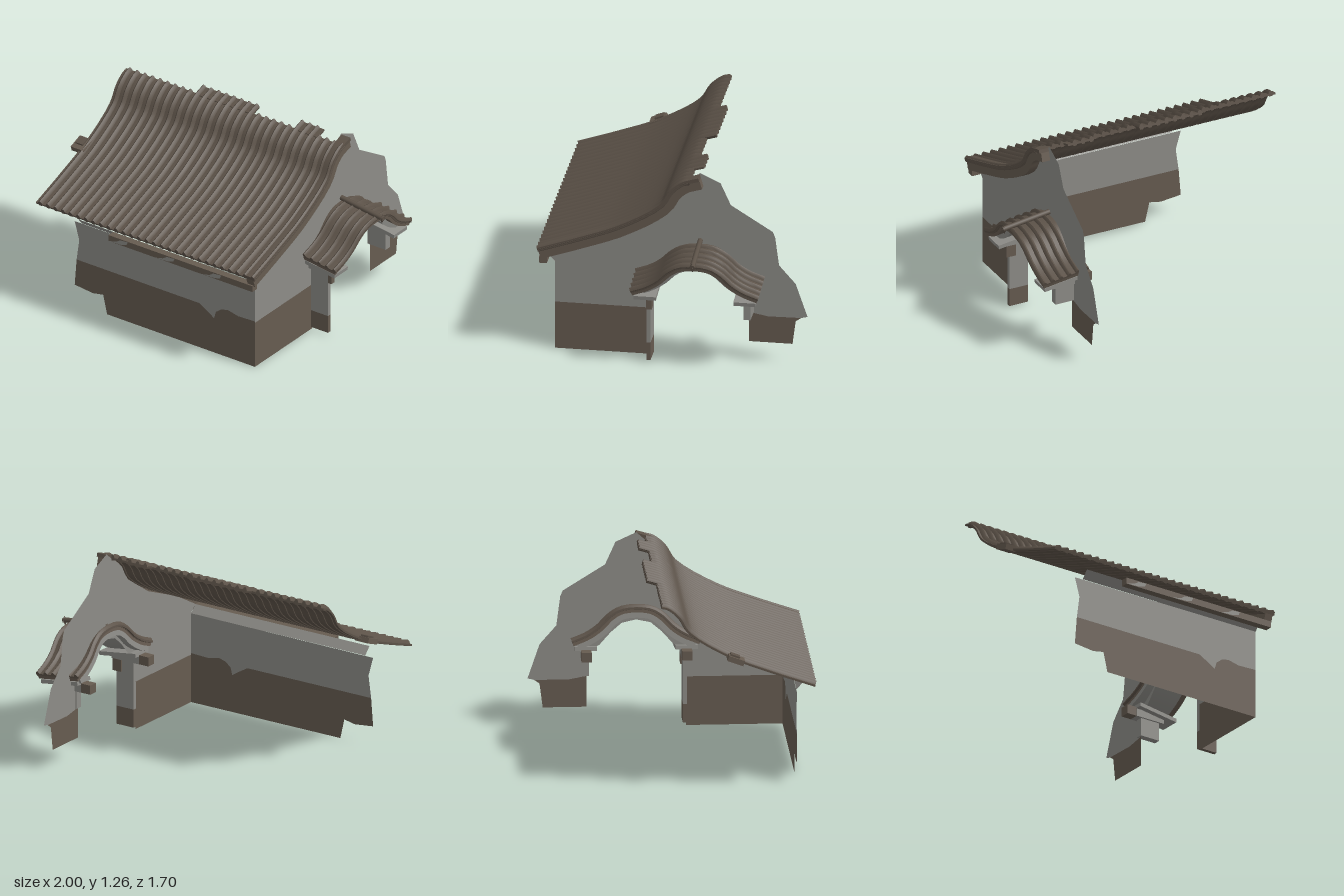
import * as THREE from 'three';
import { toCreasedNormals } from 'three/addons/utils/BufferGeometryUtils.js';

const mat = (name, color) => {
  const m = new THREE.MeshStandardMaterial({ color, side: THREE.DoubleSide });
  m.name = name;
  return m;
};

// Smooth path in the (z, y) plane
function curve(pts, n) {
  const c = new THREE.CatmullRomCurve3(pts.map(([z, y]) => new THREE.Vector3(0, y, z)), false, 'centripetal');
  return c.getPoints(n);
}

// Sweep a closed section of [x, offset along the path normal] along a (z, y) path
function sweep(section, path) {
  const pos = [], idx = [], m = section.length, n = path.length;
  path.forEach((p, i) => {
    const t = path[Math.min(i + 1, n - 1)].clone().sub(path[Math.max(i - 1, 0)]).normalize();
    section.forEach(([x, o]) => pos.push(x, p.y - t.z * o, p.z + t.y * o));
  });
  for (let i = 0; i < n - 1; i++) {
    for (let j = 0; j < m; j++) {
      const a = i * m + j, b = i * m + (j + 1) % m;
      idx.push(a, a + m, b, b, a + m, b + m);
    }
  }
  const e = (n - 1) * m;
  for (let j = 1; j < m - 1; j++) idx.push(0, j, j + 1, e, e + j + 1, e + j);
  const g = new THREE.BufferGeometry();
  g.setAttribute('position', new THREE.Float32BufferAttribute(pos, 3));
  g.setIndex(idx);
  return toCreasedNormals(g, 0.7);
}

const rect = (x0, x1, n0, n1) => [[x0, n0], [x1, n0], [x1, n1], [x0, n1]];

// Pointed half-round cover tile section
const tile = (x, r) => [[x - r * 0.6, -r], [x + r * 0.6, -r], [x + r, 0], [x + r * 0.55, r * 0.85],
  [x, r * 1.25], [x - r * 0.55, r * 0.85], [x - r, 0]];

export function createModel() {
  const model = new THREE.Group();
  const plaster = mat('grey plaster', 0x8d8c87);
  const brown = mat('brown base', 0x665b50);
  const roofMat = mat('roof tile', 0x5c5248);

  const add = (name, geo, material, parent = model) => {
    const mesh = new THREE.Mesh(geo, material);
    mesh.name = name;
    parent.add(mesh);
    return mesh;
  };
  const box = (name, material, x0, x1, y0, y1, z0, z1, parent) => {
    const b = add(name, new THREE.BoxGeometry(x1 - x0, y1 - y0, z1 - z0), material, parent);
    b.position.set((x0 + x1) / 2, (y0 + y1) / 2, (z0 + z1) / 2);
    return b;
  };
  const plate = pts => new THREE.ShapeGeometry(new THREE.Shape(pts.map(p => new THREE.Vector2(...p))));

  // Front wall: plaster above a ragged brown base
  const frontLine = [[-0.705, 0.315], [0.24, 0.315], [0.3, 0.28], [0.355, 0.245], [0.37, 0.295],
    [0.41, 0.325], [0.46, 0.338], [0.54, 0.32], [0.67, 0.325]];
  add('frontWallPlaster', plate([...frontLine, [0.67, 0.59], [-0.72, 0.585], [-0.685, 0.46]]), plaster)
    .position.z = 0.745;
  add('frontWallBase', plate([[-0.47, 0], [0.67, 0], ...[...frontLine].reverse(), [-0.72, 0.13],
    [-0.58, 0.115], [-0.5, 0.13]]), brown).position.z = 0.745;

  // Sloping cornice and eave beam with worn patches
  const cornice = add('cornice', new THREE.PlaneGeometry(1.33, 0.067), plaster);
  cornice.position.set(0.005, 0.613, 0.768);
  cornice.rotation.x = Math.atan2(0.045, 0.05);
  box('eaveBeam', brown, -0.39, 0.72, 0.595, 0.637, 0.79, 0.84);
  for (const x of [-0.39, -0.03, 0.33]) {
    add('wornPatch', plate([[x, 0.596], [x + 0.1, 0.6], [x + 0.14, 0.612], [x + 0.15, 0.635],
      [x + 0.09, 0.63], [x + 0.06, 0.61]]), plaster).position.z = 0.842;
  }

  // Gable wall with arched opening, broken at the rear
  const gable = (name, pts, material) => {
    const g = plate(pts);
    g.rotateY(-Math.PI / 2);
    add(name, g, material).position.x = 0.67;
  };
  gable('gablePlaster', [[0.745, 0.315], [0.745, 0.59], [0.79, 0.64], [0.58, 0.755], [0.28, 0.875], [0.06, 1.02],
    [0, 1.12], [-0.07, 1.18], [-0.12, 1.21], [-0.17, 1.255], [-0.3, 1.195], [-0.365, 1.05], [-0.63, 0.885],
    [-0.645, 0.85], [-0.67, 0.66], [-0.775, 0.54], [-0.85, 0.32], [-0.81, 0.31], [-0.6, 0.307],
    [-0.53, 0.32], [-0.48, 0.33], [-0.48, 0.48], [-0.4, 0.53], [-0.33, 0.61], [-0.26, 0.67], [-0.17, 0.69],
    [-0.08, 0.67], [-0.01, 0.61], [0.06, 0.53], [0.14, 0.48], [0.14, 0.315]], plaster);
  gable('gableFrontBase', [[0.745, 0], [0.745, 0.315], [0.14, 0.315], [0.14, 0]], brown);
  gable('gableRearBase', [[-0.48, 0.13], [-0.48, 0.33], [-0.53, 0.32], [-0.6, 0.307], [-0.81, 0.31],
    [-0.775, 0.285], [-0.755, 0.13]], brown);

  // Main roof: thin sheet, cover tiles and barge board
  const slope = [[0.848, 0.693], [0.58, 0.785], [0.32, 0.887], [0.065, 1.045], [0, 1.145], [-0.07, 1.203]];
  const shortPath = curve([...slope, [-0.113, 1.215]], 24);
  const longPath = curve([...slope, [-0.113, 1.22], [-0.173, 1.238]], 26);
  const roof = new THREE.Group();
  roof.name = 'mainRoof';
  model.add(roof);
  add('roofSheet', sweep(rect(-0.945, 0.735, -0.012, 0), shortPath), roofMat, roof);
  for (const [a, b] of [[-0.4, 0.02], [0.36, 0.54]]) {
    add('roofSheetPatch', sweep(rect(a, b, -0.009, 0.003), longPath.slice(-6)), roofMat, roof);
  }
  for (let i = 0; i < 29; i++) {
    const x = -0.912 + i * 0.0585;
    const long = (x > -0.41 && x < 0.03) || (x > 0.35 && x < 0.55);
    add('coverTile', sweep(tile(x, 0.017), long ? longPath : shortPath), roofMat, roof);
  }
  add('bargeBoard', sweep(rect(0.675, 0.73, -0.07, -0.012), longPath), brown, roof);
  add('bargeCap', sweep(rect(0.675, 0.742, -0.012, 0.012), longPath), roofMat, roof);

  // Broken purlin end at the left edge
  box('purlinEnd', brown, -1.0, -0.9, 0.855, 0.89, 0.295, 0.4).rotation.x = 0.35;
  box('purlinCap', roofMat, -0.985, -0.93, 0.875, 0.905, 0.31, 0.37).rotation.x = 0.35;

  // Small arched gate roof, tipped outwards
  const gate = new THREE.Group();
  gate.name = 'gateRoof';
  gate.position.set(0.95, 0.735, -0.172);
  gate.rotation.z = -0.14;
  model.add(gate);
  const half = [[0.405, -0.208], [0.31, -0.17], [0.235, -0.12], [0.17, -0.055], [0.1, -0.013]];
  const arch = pts => curve([...pts, [0, 0], ...[...pts].reverse().map(([z, y]) => [-z, y])], 24);
  const archPath = arch(half);
  add('gateSheet', sweep(rect(-0.325, 0, -0.012, 0), archPath), roofMat, gate);
  for (let i = 0; i < 6; i++) {
    add('gateCoverTile', sweep(tile(-0.305 + i * 0.0585, 0.015), archPath), roofMat, gate);
  }
  add('gateTrim', sweep(rect(-0.31, -0.008, -0.035, -0.012), archPath), brown, gate);
  add('gateVault', sweep(rect(-0.31, -0.06, -0.068, -0.035), arch([[0.385, -0.2], ...half.slice(1)])), plaster, gate);

  // Ridge roll with a pointed end
  const ridge = add('gateRidge', new THREE.CylinderGeometry(0.017, 0.017, 0.33, 8), roofMat, gate);
  ridge.rotation.z = Math.PI / 2;
  ridge.position.set(-0.12, 0.022, 0);
  const knob = add('ridgeEnd', new THREE.OctahedronGeometry(0.03), roofMat, gate);
  knob.scale.set(0.5, 1.1, 0.7);
  knob.position.set(0.035, 0.018, 0);

  // Door jambs and stepped brackets either side of the arch
  box('jambBase', brown, 0.67, 0.8, 0.015, 0.135, 0.122, 0.148);
  box('jamb', plaster, 0.67, 0.8, 0.135, 0.47, 0.122, 0.148);
  box('jambStub', plaster, 0.66, 0.8, 0.33, 0.47, -0.51, -0.465);
  box('jambBlock', brown, 0.76, 0.825, 0.37, 0.45, 0.112, 0.145);
  for (const s of [1, -1]) {
    const zc = -0.172 + s * 0.315;
    box('bracket', plaster, 0.62, 0.83, 0.45, 0.5, zc - 0.034, zc + 0.034);
    box('bracketInnerEnd', brown, 0.55, 0.62, 0.45, 0.51, zc - 0.032, zc + 0.032);
    const b = box('bracketBeam', plaster, 0.62, 0.9, 0.485, 0.51, zc - 0.07, zc + 0.07);
    b.rotation.z = -0.14;
  }
  return model;
}
